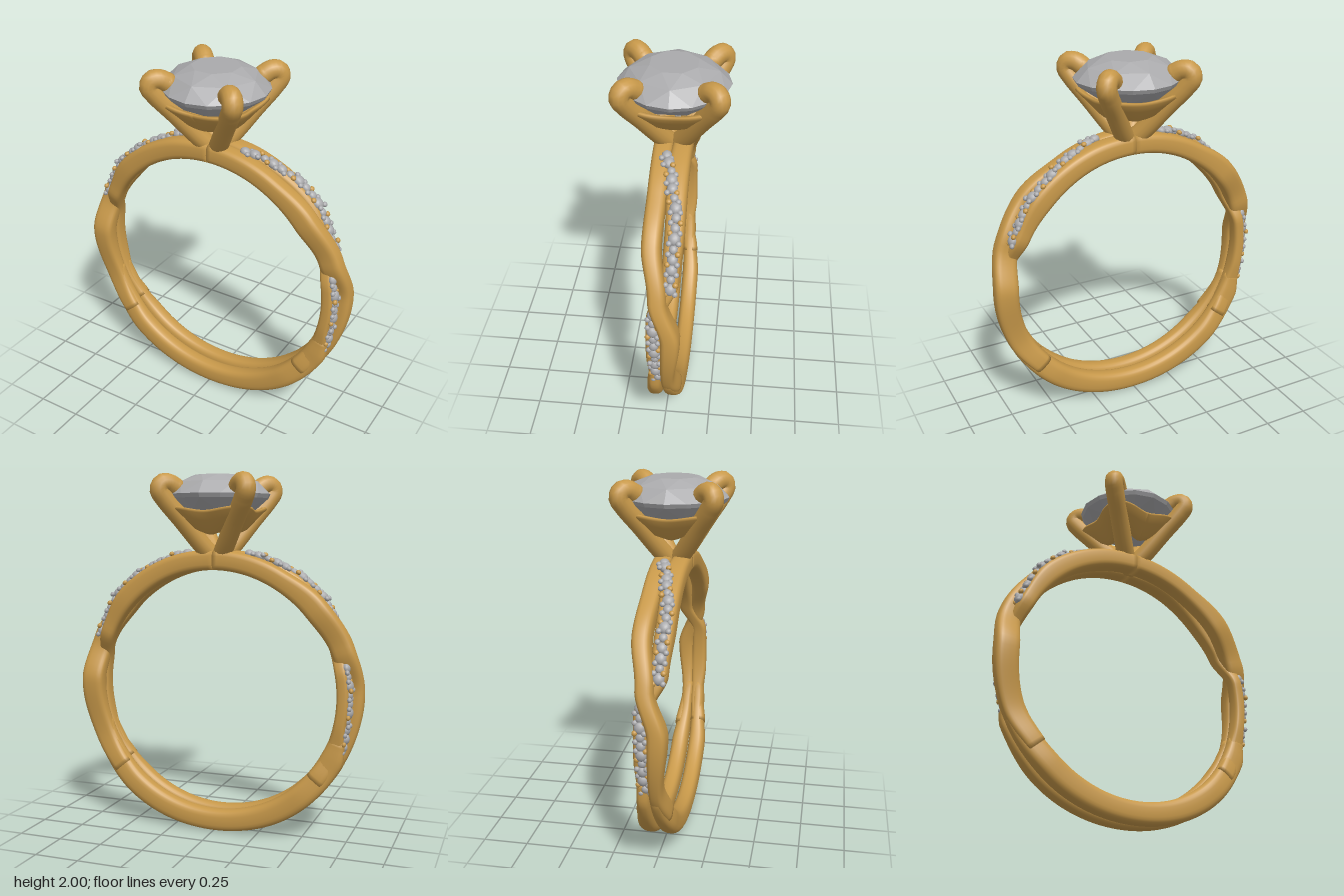
import * as THREE from 'three';
import { mergeGeometries } from 'three/addons/utils/BufferGeometryUtils.js';
import { ConvexGeometry } from 'three/addons/geometries/ConvexGeometry.js';

const gold = new THREE.MeshStandardMaterial({ color: 0xc8994a });
gold.name = 'gold';
const stone = new THREE.MeshStandardMaterial({ color: 0xaaaaac });
stone.name = 'stone';

const CY = 0.805; // height of the ring's centre

// Smooth interpolation between rows of [degrees, ...values]
function at(keys, deg) {
  let i = 0;
  while (i < keys.length - 2 && deg > keys[i + 1][0]) i++;
  const a = keys[i], b = keys[i + 1];
  const t = THREE.MathUtils.smoothstep(deg, a[0], b[0]);
  return a.slice(1).map((v, k) => v + (b[k + 1] - v) * t);
}

// Point on the ring: degrees from the top toward +x, radius, z
function onRing(deg, r, z) {
  const p = THREE.MathUtils.degToRad(deg);
  return [r * Math.sin(p), CY + r * Math.cos(p), z];
}

// Band swept round the ring; keys: [degrees, z, half width, inner radius, outer radius]
function strand(keys, power = 0.62, steps = 64, sides = 24) {
  const pos = [], idx = [];
  const d0 = keys[0][0], d1 = keys[keys.length - 1][0];
  const soft = (v) => Math.sign(v) * Math.abs(v) ** power;
  for (let i = 0; i <= steps; i++) {
    const deg = d0 + (d1 - d0) * i / steps;
    const [z, w, r0, r1] = at(keys, deg);
    for (let j = 0; j < sides; j++) {
      const a = j / sides * Math.PI * 2;
      pos.push(...onRing(deg, (r0 + r1) / 2 + (r1 - r0) / 2 * soft(Math.cos(a)), z + w * soft(Math.sin(a))));
      if (i === steps) continue;
      const p = i * sides + j, q = i * sides + (j + 1) % sides;
      idx.push(p, q, p + sides, q, q + sides, p + sides);
    }
  }
  // end caps
  for (const [i, deg] of [[0, d0], [steps, d1]]) {
    const [z, , r0, r1] = at(keys, deg);
    const c = pos.length / 3;
    pos.push(...onRing(deg, (r0 + r1) / 2, z));
    for (let j = 0; j < sides; j++) {
      const p = i * sides + j, q = i * sides + (j + 1) % sides;
      idx.push(c, ...(i === 0 ? [q, p] : [p, q]));
    }
  }
  const g = new THREE.BufferGeometry();
  g.setAttribute('position', new THREE.Float32BufferAttribute(pos, 3));
  g.setIndex(idx);
  g.computeVertexNormals();
  return g;
}

const PLAIN = [
  [0, 0.05, 0.052, 0.675, 0.785], [30, 0.05, 0.05, 0.675, 0.785],
  [50, 0.055, 0.05, 0.68, 0.812], [70, 0.015, 0.047, 0.695, 0.822],
  [88, -0.055, 0.05, 0.69, 0.822], [113, -0.035, 0.036, 0.69, 0.815],
  [130, -0.052, 0.045, 0.685, 0.8],
];
const PAVED = [
  [0, -0.05, 0.052, 0.675, 0.785], [20, -0.045, 0.057, 0.675, 0.792],
  [45, -0.055, 0.05, 0.675, 0.795], [64, -0.045, 0.045, 0.68, 0.768],
  [80, 0.03, 0.042, 0.69, 0.758], [100, 0.03, 0.045, 0.69, 0.758],
  [114, 0.025, 0.036, 0.69, 0.785], [128, 0.045, 0.045, 0.685, 0.795],
];
const SHANK = [
  [108, 0.03, 0.034, 0.69, 0.78], [118, 0.035, 0.037, 0.685, 0.815], [140, 0.054, 0.05, 0.682, 0.815],
  [180, 0.056, 0.048, 0.68, 0.803], [220, 0.054, 0.05, 0.682, 0.815],
  [242, 0.035, 0.037, 0.685, 0.815], [252, 0.03, 0.034, 0.69, 0.78],
];
// Line followed by the small stones: [degrees, z]
const GEMLINE = [[13, 0.02], [24, -0.02], [40, -0.06], [68, -0.05], [77, 0.035], [106, 0.025], [115, 0]];

function ball(r, deg, radius, z, stretch = 1) {
  const g = new THREE.SphereGeometry(r, 10, 8);
  g.scale(stretch, 0.85, 1);
  g.rotateZ(-THREE.MathUtils.degToRad(deg));
  return g.translate(...onRing(deg, radius, z));
}

// Rows of small stones with holding beads on both edges
function pave() {
  const gems = [], beads = [];
  let n = 0;
  for (const [from, to] of [[14, 69], [77, 114]]) {
    for (let deg = from; deg <= to; deg += 3.7, n++) {
      const r = at(PAVED, deg)[3], z = at(GEMLINE, deg)[0];
      gems.push(ball(0.027 + 0.005 * Math.sin(n * 2.3), deg, r - 0.002, z, 1.1));
      for (const s of [-1, 1]) {
        const list = (n + s) % 3 === 0 ? beads : gems;
        list.push(ball(0.015, deg + 1.8, r + (n % 4 === 1 ? 0.014 : 0.004), z + s * 0.024));
      }
    }
  }
  return [mergeGeometries(gems), mergeGeometries(beads)];
}

// Claw leaning outward along a diagonal and hooking over the stone
function prong() {
  const R = 0.052;
  const pts = [[0.015, 1.54], [0.07, 1.62], [0.15, 1.75], [0.22, 1.86], [0.243, 1.91], [0.232, 1.942], [0.205, 1.945], [0.178, 1.925]]
    .map(([d, y]) => new THREE.Vector3(d, y, d));
  const parts = [new THREE.TubeGeometry(new THREE.CatmullRomCurve3(pts), 40, R, 14)];
  for (const p of [pts[0], pts[pts.length - 1]]) {
    parts.push(new THREE.SphereGeometry(R, 14, 10).translate(p.x, p.y, p.z));
  }
  return mergeGeometries(parts);
}

// Web joining the claws: a flared ring pinched between them
function basket() {
  const profile = [[0.12, 1.685], [0.16, 1.7], [0.215, 1.76], [0.255, 1.8], [0.25, 1.815], [0.225, 1.812], [0.17, 1.755], [0.12, 1.71], [0.12, 1.685]]
    .map(([r, y]) => new THREE.Vector2(r, y));
  const g = new THREE.LatheGeometry(profile, 64);
  const p = g.attributes.position;
  for (let i = 0; i < p.count; i++) {
    const x = p.getX(i), z = p.getZ(i);
    const c = Math.cos(4 * Math.atan2(z, x));
    const k = 1 - 0.13 * c;
    p.setXYZ(i, x * k, p.getY(i) - 0.012 * c, z * k);
  }
  g.computeVertexNormals();
  return g;
}

// Faceted centre stone
function centreStone() {
  const pts = [new THREE.Vector3(0, 1.7, 0)];
  const rows = [[8, 0.13, 1.995, 0.5], [8, 0.225, 1.956, 0], [16, 0.288, 1.89, 0], [16, 0.277, 1.868, 0], [8, 0.2, 1.8, 0.5]];
  for (const [n, r, y, turn] of rows) {
    for (let i = 0; i < n; i++) {
      const a = (i + turn) / n * Math.PI * 2;
      const k = r * (1 + 0.015 * Math.cos(4 * a));
      pts.push(new THREE.Vector3(k * Math.cos(a), y, k * Math.sin(a)));
    }
  }
  return new ConvexGeometry(pts);
}

export function createModel() {
  const model = new THREE.Group();
  model.name = 'ring';
  const add = (name, geometry, material, parent = model) => {
    const mesh = new THREE.Mesh(geometry, material);
    mesh.name = name;
    parent.add(mesh);
    return mesh;
  };

  // Twisted halves, the second turned half round the vertical axis
  const plain = strand(PLAIN), paved = strand(PAVED);
  const [gems, beads] = pave();
  for (const side of ['left', 'right']) {
    const half = new THREE.Group();
    half.name = side + 'TwistedHalf';
    half.rotation.y = side === 'left' ? 0 : Math.PI;
    add('plainStrand', plain, gold, half);
    add('pavedStrand', paved, gold, half);
    add('smallStones', gems, stone, half);
    add('holdingBeads', beads, gold, half);
    model.add(half);
  }

  // Two rounded strands side by side at the bottom
  add('frontShank', strand(SHANK, 0.72), gold);
  add('backShank', strand(SHANK.map(([d, z, ...rest]) => [d, -z, ...rest]), 0.72), gold);

  // Head
  const claw = prong();
  for (let i = 0; i < 4; i++) add('prong', claw, gold).rotation.y = i * Math.PI / 2;
  add('basket', basket(), gold);
  add('centreStone', centreStone(), stone);
  return model;
}
